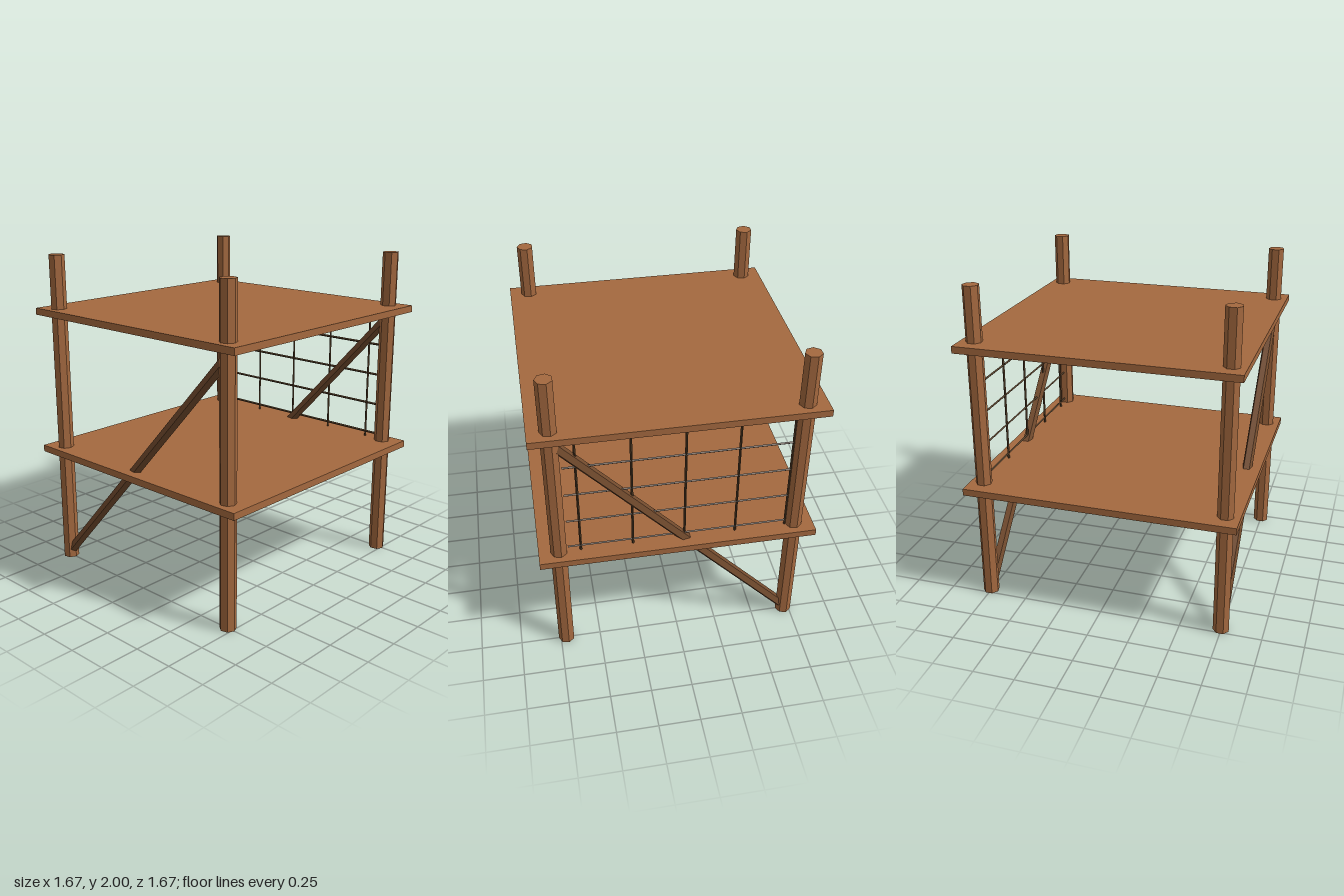
import * as THREE from 'three';

const wood = new THREE.MeshStandardMaterial({ color: 0xa4693f });
wood.name = 'warm wood';
const darkWood = new THREE.MeshStandardMaterial({ color: 0x744c2e });
darkWood.name = 'dark wood';
const rope = new THREE.MeshStandardMaterial({ color: 0x4f3a24 });
rope.name = 'dark rope';
for (const m of [wood, darkWood, rope]) m.flatShading = true;

const POST_X = 0.714, POST_Z = 0.749;

// Low-poly round bar between two points lying in one z plane
function bar(name, material, radius, sides, [x0, y0], [x1, y1], z) {
  const dx = x1 - x0, dy = y1 - y0;
  const geo = new THREE.CylinderGeometry(radius, radius, Math.hypot(dx, dy), sides);
  geo.rotateY(Math.PI / 2); // one corner points to +x
  const mesh = new THREE.Mesh(geo, material);
  mesh.name = name;
  mesh.position.set((x0 + x1) / 2, (y0 + y1) / 2, z);
  mesh.rotation.z = -Math.atan2(dx, dy);
  return mesh;
}

export function createModel() {
  const model = new THREE.Group();
  model.name = 'scaffold';

  // Corner posts
  for (const x of [-POST_X, POST_X])
    for (const z of [-POST_Z, POST_Z])
      model.add(bar('cornerPost', wood, 0.05, 7, [x, 0], [x, 2], z));

  // Two square decks
  for (const [name, y] of [['lowerDeck', 0.745], ['upperDeck', 1.645]]) {
    const deck = new THREE.Mesh(new THREE.BoxGeometry(1.67, 0.042, 1.67), wood);
    deck.name = name;
    deck.position.y = y;
    model.add(deck);
  }

  // Diagonal braces on the front and back
  for (const [name, z] of [['frontBrace', POST_Z], ['backBrace', -POST_Z]])
    model.add(bar(name, darkWood, 0.032, 5, [-POST_X, 0.03], [POST_X, 1.585], z));

  // Rope net across the back
  const net = new THREE.Group();
  net.name = 'backNet';
  for (let i = 0; i < 5; i++) {
    const x = -0.66 + i * 0.311;
    net.add(bar('netUpright', rope, 0.0075, 4, [x, 0.745], [x, 1.605], -POST_Z));
  }
  for (let i = 0; i < 4; i++) {
    const y = 0.8 + i * 0.2;
    net.add(bar('netCrossRope', rope, 0.0075, 4, [-0.66, y], [0.66, y], -POST_Z));
  }
  model.add(net);

  return model;
}
